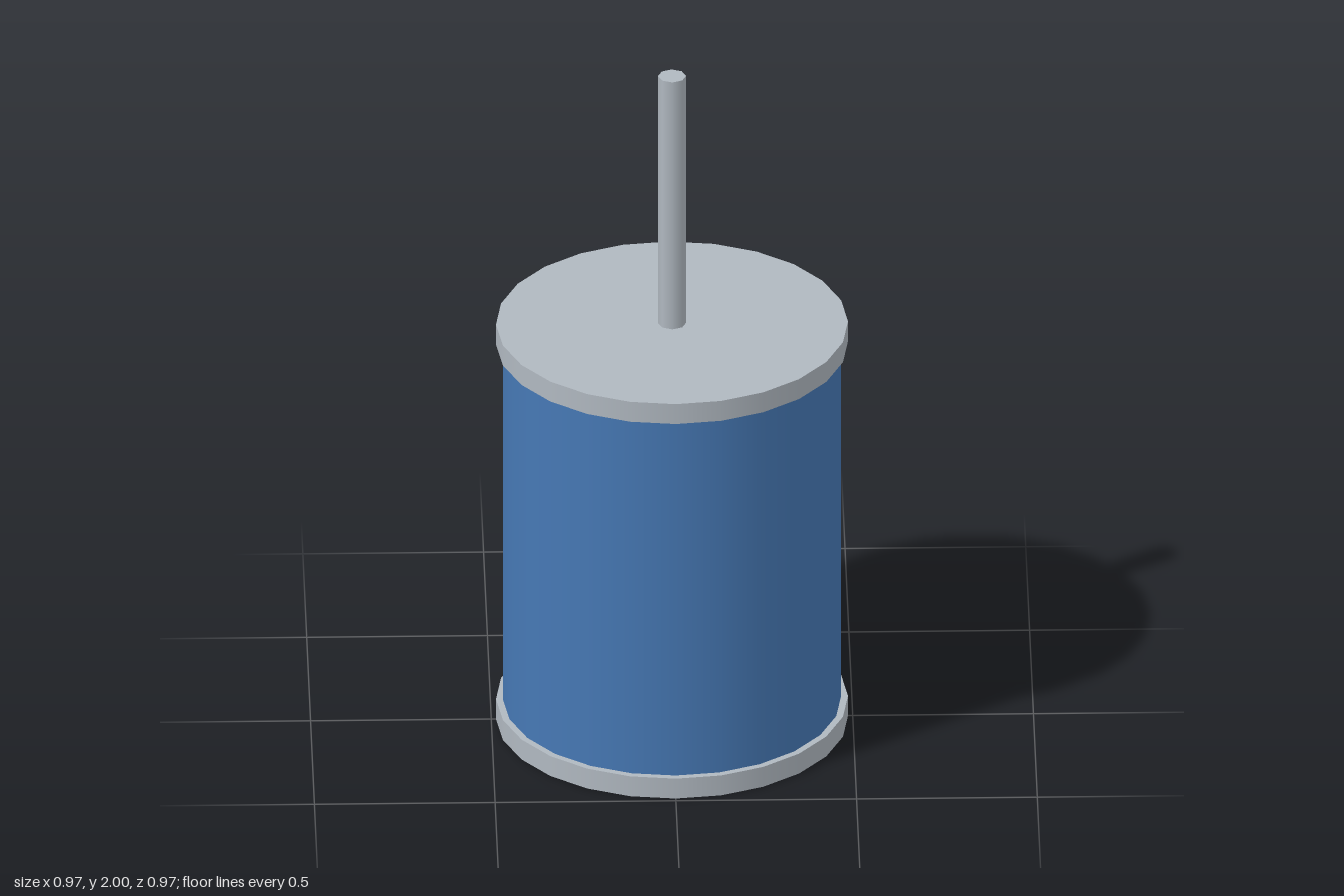
import * as THREE from 'three';

export function createModel() {
  const model = new THREE.Group();
  model.name = 'motor';

  const metal = new THREE.MeshStandardMaterial({ color: 0xb0b8c0 });
  metal.name = 'grey metal';
  const paint = new THREE.MeshStandardMaterial({ color: 0x4678b4 });
  paint.name = 'blue paint';

  // Upright cylinder between two heights
  function addCylinder(name, radius, bottom, top, sides, material) {
    const height = top - bottom;
    const mesh = new THREE.Mesh(new THREE.CylinderGeometry(radius, radius, height, sides), material);
    mesh.name = name;
    mesh.position.y = bottom + height / 2;
    model.add(mesh);
  }

  // End caps, slightly wider than the housing
  addCylinder('bottomCap', 0.487, 0, 0.062, 24, metal);
  addCylinder('topCap', 0.487, 1.168, 1.23, 24, metal);

  // Main housing
  addCylinder('housing', 0.468, 0.062, 1.168, 24, paint);

  // Output shaft
  addCylinder('shaft', 0.039, 1.23, 2, 8, metal);

  return model;
}
